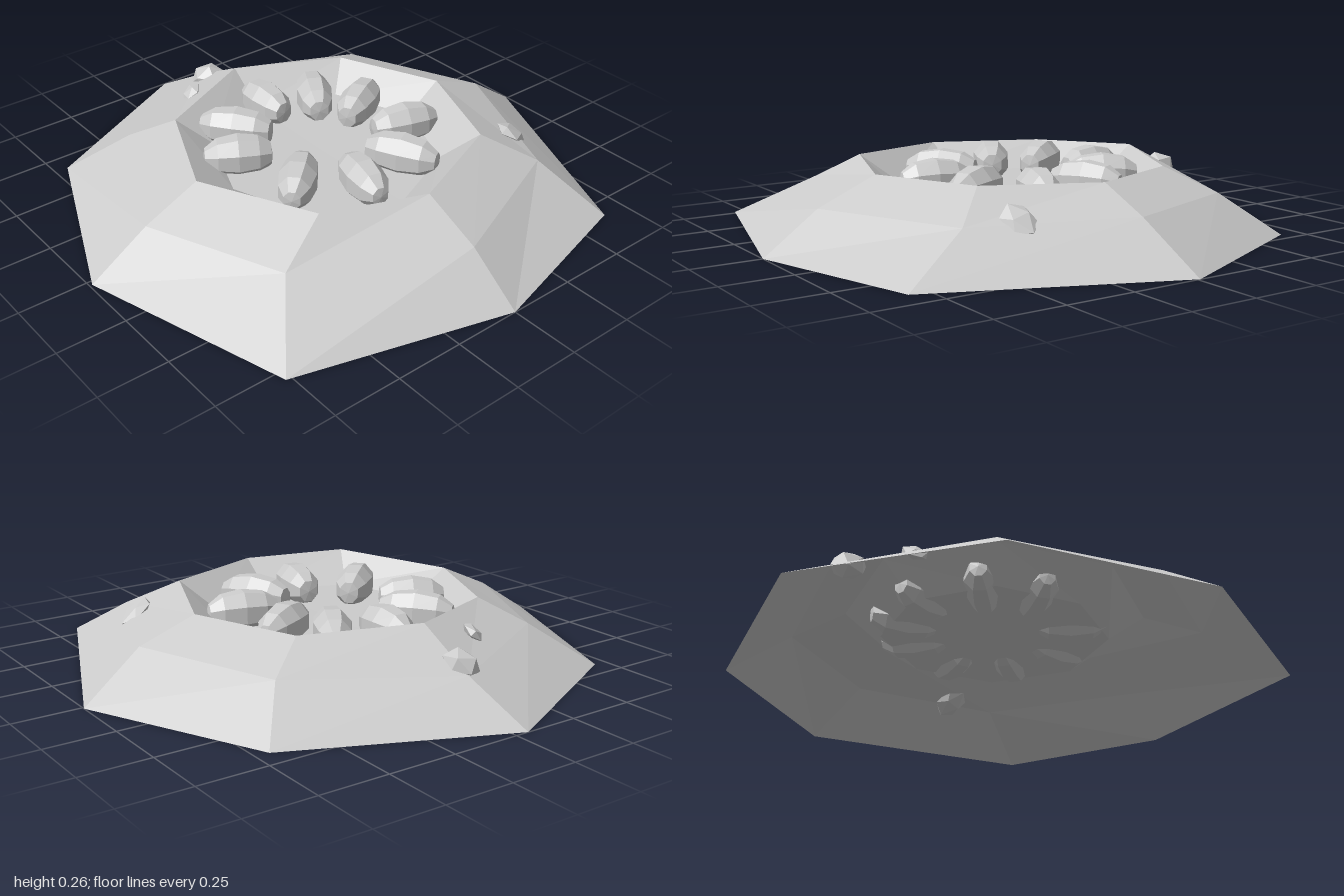
import * as THREE from 'three';

const grey = new THREE.MeshStandardMaterial({ color: 0xcccccc, flatShading: true });
const greyOpen = new THREE.MeshStandardMaterial({ color: 0xcccccc, flatShading: true, side: THREE.DoubleSide });

// Octagonal rings [x, y, z], from the ground edge over the rim to the crater floor
const RINGS = [
  [[-0.01, 0, -1], [0.82, 0, -0.65], [1, 0, 0], [0.79, 0, 0.77], [0.02, 0, 0.99], [-0.67, 0, 0.7], [-1, 0, 0.05], [-0.67, 0, -0.7]],
  [[0.03, 0.16, -0.77], [0.57, 0.15, -0.55], [0.8, 0.145, 0], [0.53, 0.15, 0.57], [0.02, 0.14, 0.77], [-0.51, 0.15, 0.51], [-0.77, 0.13, 0], [-0.49, 0.15, -0.56]],
  [[0.02, 0.24, -0.56], [0.42, 0.245, -0.4], [0.58, 0.24, 0], [0.45, 0.25, 0.37], [0.02, 0.235, 0.56], [-0.37, 0.235, 0.39], [-0.54, 0.25, 0], [-0.37, 0.235, -0.4]],
  [[0.02, 0.14, -0.42], [0.32, 0.14, -0.3], [0.45, 0.14, 0], [0.32, 0.14, 0.3], [0.02, 0.14, 0.41], [-0.28, 0.14, 0.29], [-0.4, 0.14, 0], [-0.28, 0.14, -0.3]],
];

function moundGeometry() {
  const positions = RINGS.flat(2);
  const n = 8;
  const index = [];
  for (let r = 0; r < RINGS.length - 1; r++) {
    for (let i = 0; i < n; i++) {
      const j = (i + 1) % n;
      const a = r * n + i, b = r * n + j, c = a + n, d = b + n;
      index.push(a, c, b, b, c, d);
    }
  }
  // crater floor fan
  const centre = positions.length / 3;
  positions.push(0.02, 0.135, 0);
  const base = (RINGS.length - 1) * n;
  for (let i = 0; i < n; i++) index.push(base + i, centre, base + (i + 1) % n);
  const g = new THREE.BufferGeometry();
  g.setAttribute('position', new THREE.Float32BufferAttribute(positions, 3));
  g.setIndex(index);
  g.computeVertexNormals();
  return g;
}

// Faceted barrel-shaped seed lying along z, outer end at +z
function seedGeometry() {
  const profile = [[0, -0.5], [0.26, -0.48], [0.43, -0.3], [0.5, 0], [0.42, 0.3], [0.22, 0.48], [0, 0.5]]
    .map(([r, y]) => new THREE.Vector2(r, y));
  return new THREE.LatheGeometry(profile, 8, Math.PI / 8).rotateX(Math.PI / 2);
}

// Seeds: inner end x, z and outer end x, z
const SEEDS = [
  [0.185, 0.03, 0.435, 0.085], [0.15, -0.095, 0.395, -0.22], [0.075, -0.185, 0.15, -0.435],
  [-0.05, -0.165, -0.18, -0.4], [-0.15, -0.115, -0.38, -0.245], [-0.225, -0.005, -0.46, 0],
  [-0.145, 0.115, -0.365, 0.285], [-0.03, 0.2, -0.155, 0.415], [0.08, 0.14, 0.265, 0.34],
];

// Stones: position, size, rotation
const STONES = [
  [[-0.71, 0.15, 0.02], [0.07, 0.05, 0.065], [0.2, 0.4, 0.3]],
  [[-0.57, 0.19, 0.19], [0.045, 0.022, 0.05], [0.3, 0.9, 0.5]],
  [[0.39, 0.16, -0.6], [0.06, 0.03, 0.08], [-0.62, 0.2, -0.2]],
];

export function createModel() {
  const model = new THREE.Group();
  model.name = 'seedMound';

  const mound = new THREE.Mesh(moundGeometry(), greyOpen);
  mound.name = 'soilMound';
  model.add(mound);

  // ring of seeds in the crater
  const seeds = new THREE.Group();
  seeds.name = 'seeds';
  const seedShape = seedGeometry();
  for (const [x0, z0, x1, z1] of SEEDS) {
    const seed = new THREE.Mesh(seedShape, grey);
    seed.name = 'seed';
    seed.position.set((x0 + x1) / 2, 0.185, (z0 + z1) / 2);
    seed.rotation.y = Math.atan2(x1 - x0, z1 - z0);
    seed.scale.set(0.145, 0.165, Math.hypot(x1 - x0, z1 - z0));
    seeds.add(seed);
  }
  model.add(seeds);

  // stones half sunk in the slope
  const stones = new THREE.Group();
  stones.name = 'stones';
  const stoneShape = new THREE.IcosahedronGeometry(1, 0);
  for (const [position, size, rotation] of STONES) {
    const stone = new THREE.Mesh(stoneShape, grey);
    stone.name = 'stone';
    stone.position.set(...position);
    stone.scale.set(...size);
    stone.rotation.set(...rotation);
    stones.add(stone);
  }
  model.add(stones);

  return model;
}
